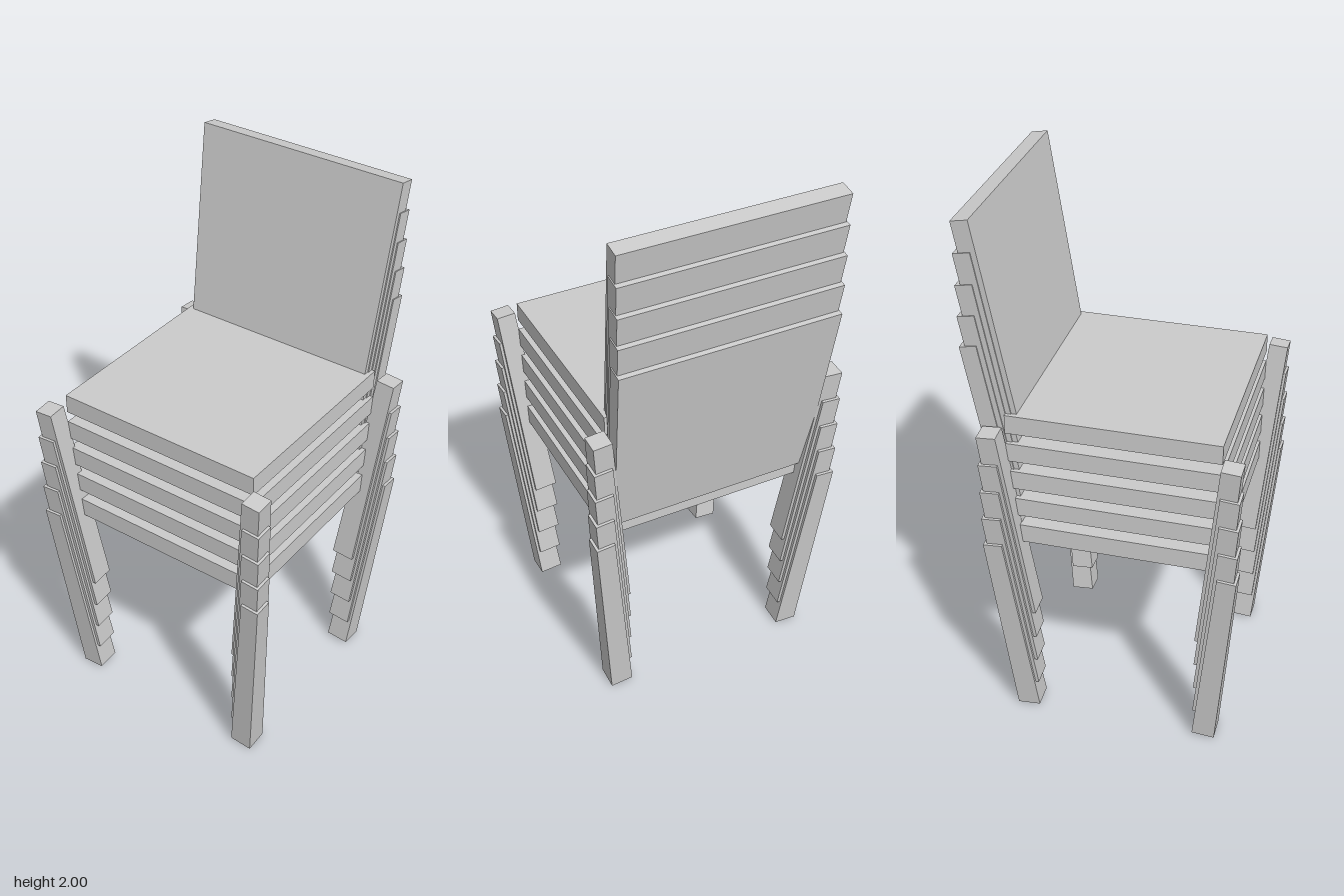
import * as THREE from 'three';

const material = new THREE.MeshStandardMaterial({ color: 0xcccccc, flatShading: true });
const STACK = 5;
const STEP = 0.112;

// Six-sided solid from a lower and an upper quad.
// Corner order: back left, back right, front right, front left as (-x-z), (+x-z), (+x+z), (-x+z).
function loft(name, low, high) {
  const p = [...low, ...high];
  const faces = [[0, 1, 2, 3], [7, 6, 5, 4]];
  for (let i = 0; i < 4; i++) {
    const j = (i + 1) % 4;
    faces.push([j, i, i + 4, j + 4]);
  }
  const verts = [];
  for (const [a, b, c, d] of faces) {
    for (const k of [a, b, c, a, c, d]) verts.push(...p[k]);
  }
  const geometry = new THREE.BufferGeometry();
  geometry.setAttribute('position', new THREE.Float32BufferAttribute(verts, 3));
  geometry.computeVertexNormals();
  const mesh = new THREE.Mesh(geometry, material);
  mesh.name = name;
  return mesh;
}

// Quad between x0..x1 and z0..z1, with its height given by a function of x and z.
function quad(x0, x1, z0, z1, y) {
  return [[x0, z0], [x1, z0], [x1, z1], [x0, z1]].map(([x, z]) => [x, y(x, z), z]);
}

// Leg leaning outwards to the top; its ends are square to the lean.
function leg(name, side, top, bottom) {
  const span = (a, b) => (side > 0 ? [a, b] : [-b, -a]);
  const out = Math.sign(top[0]);
  const end = (inner, outer, z, y) => {
    const zOuter = out > 0 ? z[1] : z[0];
    const height = (x, zz) => y + 0.08 * (outer - Math.abs(x)) + 0.08 * Math.abs(zOuter - zz);
    return quad(...span(inner, outer), z[0], z[1], height);
  };
  return loft(name, end(0.318, 0.403, bottom, 0), end(0.405, 0.474, top, 0.79));
}

function createChair() {
  const chair = new THREE.Group();
  chair.name = 'chair';

  // Seat slab
  const seat = new THREE.Mesh(new THREE.BoxGeometry(0.796, 0.071, 0.757), material);
  seat.name = 'seat';
  seat.position.set(0, 0.81, 0.0315);
  chair.add(seat);

  // Backrest, leaning back and widening to the top
  const slope = (base, z0) => (x, z) => base + 0.17 * (z - z0);
  chair.add(loft('backrest',
    quad(-0.38, 0.38, -0.367, -0.307, slope(0.842, -0.307)),
    quad(-0.407, 0.407, -0.487, -0.427, slope(1.552, -0.427))));

  // Four legs
  for (const side of [-1, 1]) {
    chair.add(leg('frontLeg', side, [0.418, 0.487], [0.333, 0.418]));
    chair.add(leg('backLeg', side, [-0.424, -0.355], [-0.35, -0.265]));
  }
  return chair;
}

export function createModel() {
  const model = new THREE.Group();
  model.name = 'chairStack';
  for (let i = 0; i < STACK; i++) {
    const chair = createChair();
    chair.position.y = i * STEP;
    model.add(chair);
  }
  return model;
}
